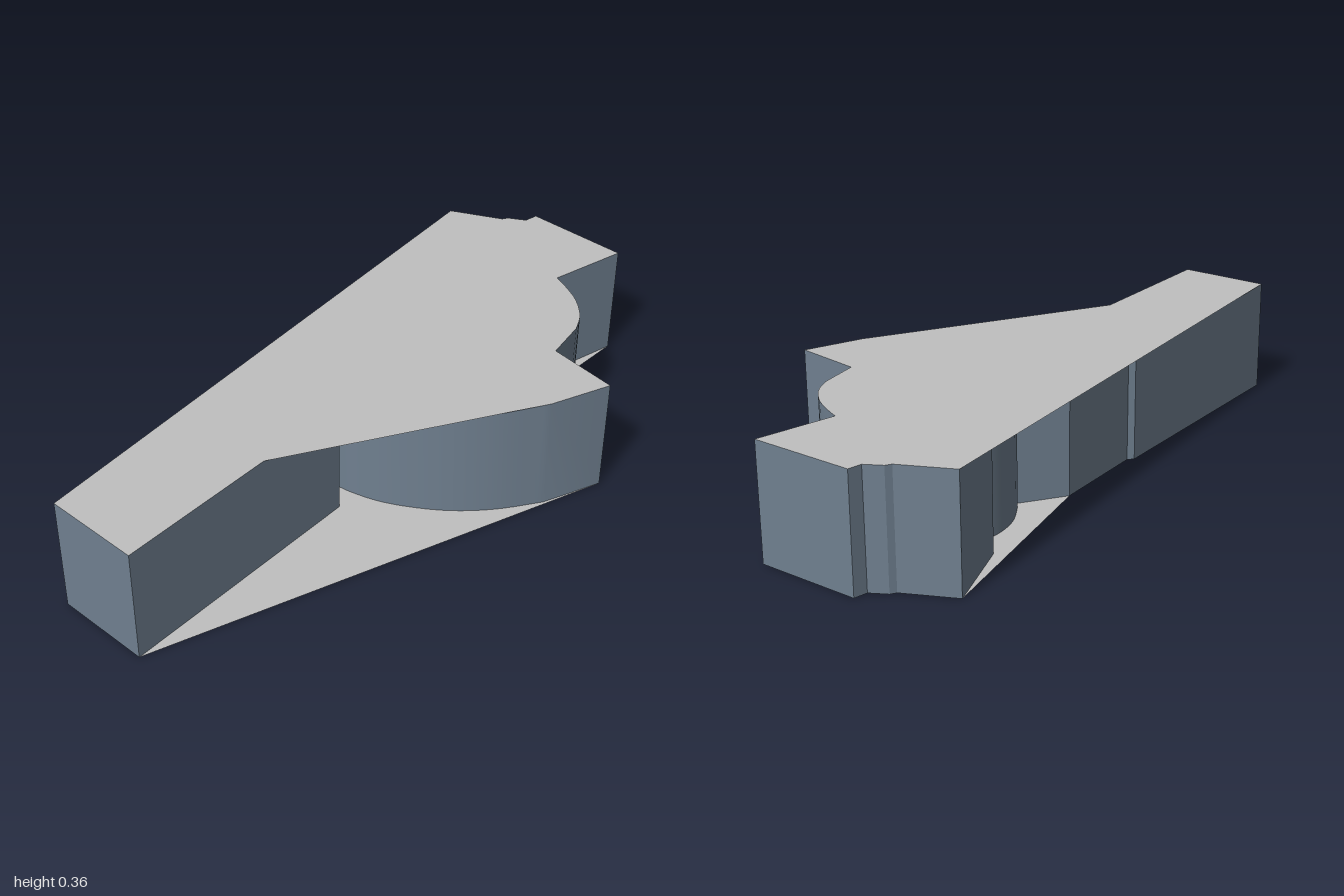
import * as THREE from 'three';
import { toCreasedNormals } from 'three/addons/utils/BufferGeometryUtils.js';

const H = 0.36;

// smooth arc through a few [x, z] points
function arc(points, n = 14) {
  const curve = new THREE.SplineCurve(points.map(([x, z]) => new THREE.Vector2(x, z)));
  return curve.getPoints(n).map((p) => [p.x, p.y]);
}

// horizontal plate from an [x, z] outline
function plate(name, outline, y, material) {
  const shape = new THREE.Shape(outline.map(([x, z]) => new THREE.Vector2(x, -z)));
  const geometry = new THREE.ShapeGeometry(shape);
  geometry.rotateX(-Math.PI / 2);
  geometry.translate(0, y, 0);
  const mesh = new THREE.Mesh(geometry, material);
  mesh.name = name;
  return mesh;
}

// vertical wall standing on a closed [x, z] outline
function wall(name, outline, material) {
  const position = [];
  outline.forEach(([ax, az], i) => {
    const [bx, bz] = outline[(i + 1) % outline.length];
    position.push(ax, 0, az, ax, H, az, bx, H, bz);
    position.push(ax, 0, az, bx, H, bz, bx, 0, bz);
  });
  const geometry = new THREE.BufferGeometry();
  geometry.setAttribute('position', new THREE.Float32BufferAttribute(position, 3));
  const mesh = new THREE.Mesh(toCreasedNormals(geometry, 0.35), material);
  mesh.name = name;
  return mesh;
}

export function createModel() {
  const slate = new THREE.MeshStandardMaterial({ color: 0x708090, side: THREE.DoubleSide });
  slate.name = 'slate wall';
  const silver = new THREE.MeshStandardMaterial({ color: 0xc0c0c0, side: THREE.DoubleSide });
  silver.name = 'silver slab';

  // shared stretches of the outline, clockwise seen from above
  const backLeft = [[-1, 0.2]];
  const ledge = [[-0.25, -0.06], [-0.23, -0.05], [0.075, -0.163]];
  const backBulge = [
    [0.228, -0.116],
    ...arc([[0.24, -0.135], [0.31, -0.21], [0.4, -0.256], [0.53, -0.28]]),
    [0.47, -0.348],
  ];
  const rightEnd = [
    [0.683, -0.517], [0.8, -0.39], [0.82, -0.385], [0.862, -0.345], [0.905, -0.35], [1, -0.035],
  ];
  const rightArc = arc([[0.75, -0.015], [0.745, 0.03], [0.728, 0.11], [0.69, 0.185], [0.64, 0.235]]);
  const frontFoot = [[0.52, 0.298], [0.555, 0.513]];
  const frontBulge = arc(
    [[0.363, 0.5], [0.22, 0.455], [0.09, 0.385], [-0.03, 0.28], [-0.1, 0.18], [-0.133, 0.1]], 24);
  const frontNotch = [[-0.177, 0.118], [-0.16, 0.22]];
  const frontLeft = [[-0.915, 0.48]];

  const group = new THREE.Group();
  group.name = 'building';
  group.add(
    wall('outerWalls', [...backLeft, ...ledge, ...backBulge, ...rightEnd, ...rightArc,
      ...frontFoot, ...frontBulge, ...frontNotch, ...frontLeft], slate),
    // roof spans the back recess and part of the front one
    plate('roof', [...backLeft, ...rightEnd, ...rightArc, ...frontFoot,
      [0.363, 0.5], [-0.45, 0.32], ...frontLeft], H, silver),
    // floor spans the front recess and part of the back one
    plate('floor', [...backLeft, ...ledge, ...rightEnd, ...rightArc.filter(([, z]) => z > 0.025),
      ...frontFoot, ...frontLeft], 0, silver),
  );
  return group;
}
